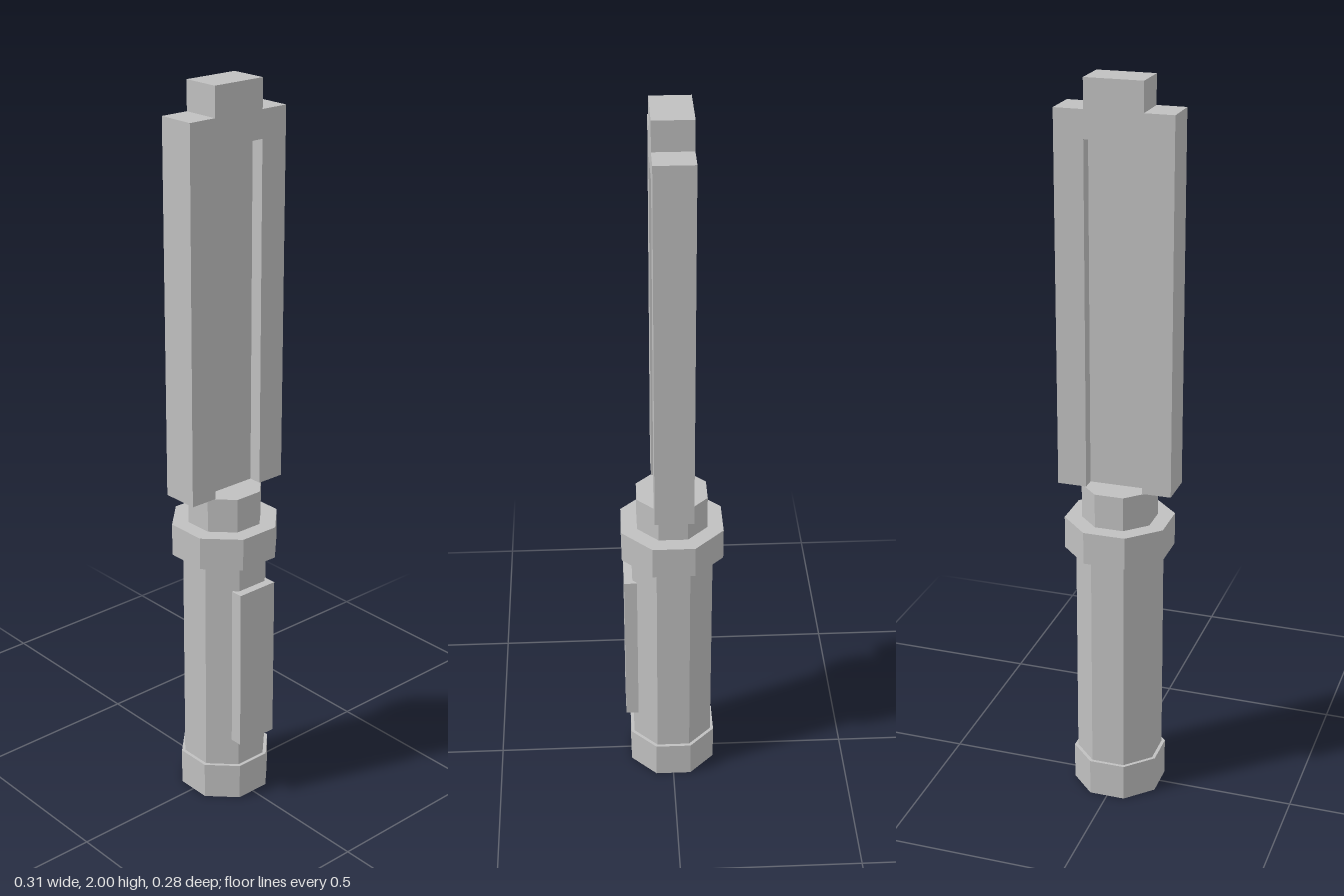
import * as THREE from 'three';

export function createModel() {
  const group = new THREE.Group();
  const grey = new THREE.MeshStandardMaterial({ color: 0xc0c0c0 });
  grey.name = 'grey';

  const add = (name, geometry) => {
    const mesh = new THREE.Mesh(geometry, grey);
    mesh.name = name;
    group.add(mesh);
  };

  // Octagonal prism with flats facing the axes; a = centre-to-flat distance
  const octagon = (name, a, y0, y1) => {
    const r = a / Math.cos(Math.PI / 8);
    const g = new THREE.CylinderGeometry(r, r, y1 - y0, 8).toNonIndexed();
    g.rotateY(Math.PI / 8).translate(0, (y0 + y1) / 2, 0);
    g.computeVertexNormals();
    add(name, g);
  };

  const box = (name, x, y0, y1, z0, z1) => {
    const g = new THREE.BoxGeometry(x * 2, y1 - y0, z1 - z0);
    add(name, g.translate(0, (y0 + y1) / 2, (z0 + z1) / 2));
  };

  // Handle
  octagon('pommel', 0.119, 0, 0.104);
  octagon('grip', 0.11, 0.104, 0.73);
  octagon('guard', 0.138, 0.73, 0.82);
  octagon('collar', 0.095, 0.82, 0.915);
  box('gripPanel', 0.061, 0.186, 0.652, 0.098, 0.133);

  // Blade frame with stepped tip, open at the bottom of the groove
  const half = [
    [0.078, 1.848], [0.078, 0.915], [0.157, 0.915],
    [0.157, 1.922], [0.078, 1.922], [0.078, 2],
  ];
  const outline = [...half, ...half.map(([x, y]) => [-x, y]).reverse()];
  const shape = new THREE.Shape(outline.map(([x, y]) => new THREE.Vector2(x, y)));
  const frame = new THREE.ExtrudeGeometry(shape, { depth: 0.104, bevelEnabled: false });
  add('bladeFrame', frame.translate(0, 0, -0.052));

  // Recessed web between the rails
  box('bladeWeb', 0.078, 0.915, 1.848, -0.016, 0.016);

  return group;
}
